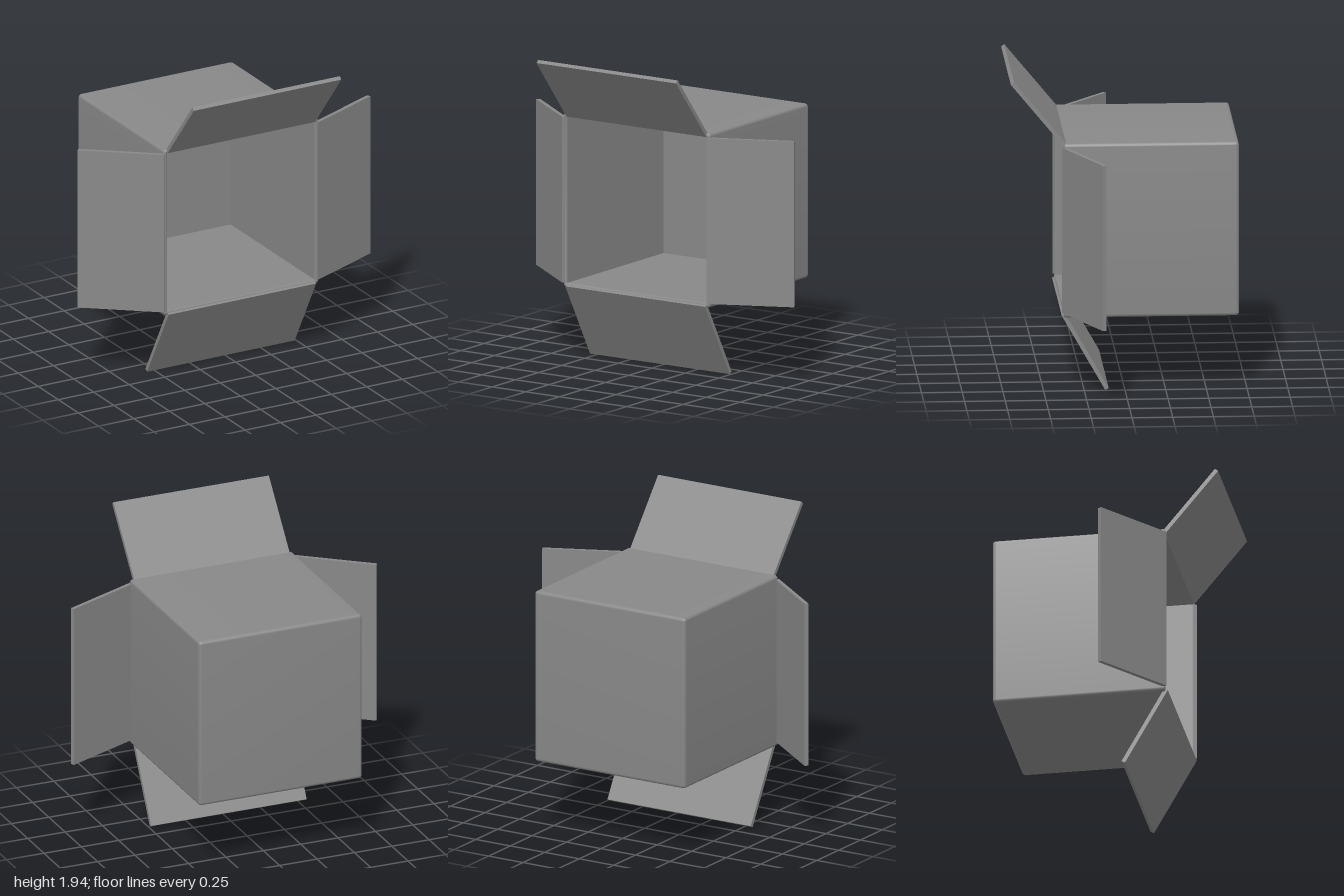
import * as THREE from 'three';
import { toCreasedNormals } from 'three/addons/utils/BufferGeometryUtils.js';

const CX = -0.03, CY = 1.01;          // centre of the box opening
const HX = 0.546, HY = 0.547;         // outer half sizes
const BACK = -0.70, RIM = 0.375;      // depth range
const WALL = 0.026, R = 0.02;         // wall thickness, edge rounding
const STEPS = 4, EDGE = 0.003;        // arc steps, narrow strip that keeps the faces flat

// Rounded-square cross-section, inset from the outer wall (counter-clockwise)
function ring(inset, z) {
  const points = [];
  const r = Math.max(0, R - inset), d = Math.max(inset, R);
  const x = Math.max(0, HX - d), y = Math.max(0, HY - d);
  const edge = Math.min(EDGE, x, y);
  [[1, 1], [-1, 1], [-1, -1], [1, -1]].forEach(([sx, sy], corner) => {
    for (let i = -1; i <= STEPS + 1; i++) {
      const t = THREE.MathUtils.clamp(i, 0, STEPS);
      const a = (corner + t / STEPS) * Math.PI / 2, c = Math.cos(a), s = Math.sin(a);
      const slide = (i - t) * edge;
      points.push(CX + sx * x + r * c - slide * s, CY + sy * y + r * s + slide * c, z);
    }
  });
  return points;
}

// Hollow shell: outer back, rounded edge, outer wall, rounded rim, inner wall, inner back
function shellGeometry() {
  const profile = [[1, BACK], [R + EDGE, BACK]];
  for (let i = 0; i <= STEPS; i++) {
    const a = i / STEPS * Math.PI / 2;
    profile.push([R * (1 - Math.sin(a)), BACK + R * (1 - Math.cos(a))]);
  }
  const half = WALL / 2;
  profile.push([0, BACK + R + EDGE], [0, RIM - half - EDGE]);
  for (let i = 0; i <= 2 * STEPS; i++) {
    const a = i / STEPS * Math.PI / 2;
    profile.push([half * (1 - Math.cos(a)), RIM - half * (1 - Math.sin(a))]);
  }
  profile.push([WALL, RIM - half - EDGE], [WALL, BACK + WALL], [1, BACK + WALL]);

  const n = 4 * (STEPS + 3), index = [];
  const positions = profile.flatMap(([inset, z]) => ring(inset, z));
  for (let j = 0; j < profile.length - 1; j++) {
    for (let i = 0; i < n; i++) {
      const k = (i + 1) % n;
      const a = j * n + i, b = j * n + k, c = a + n, d = b + n;
      index.push(a, b, d, a, d, c);
    }
  }
  const geometry = new THREE.BufferGeometry();
  geometry.setAttribute('position', new THREE.Float32BufferAttribute(positions, 3));
  geometry.setIndex(index);
  return toCreasedNormals(geometry, 0.6);
}

export function createModel() {
  const group = new THREE.Group();
  const material = new THREE.MeshStandardMaterial({ color: 0x888888 });

  const shell = new THREE.Mesh(shellGeometry(), material);
  shell.name = 'boxShell';
  group.add(shell);

  // Flat flap between a hinge and a tip, given as [x or y, z] on its centre line
  function addFlap(name, hinge, tip, sideways) {
    const du = tip[0] - hinge[0], dz = tip[1] - hinge[1];
    const length = Math.hypot(du, dz);
    const u = (hinge[0] + tip[0]) / 2, z = (hinge[1] + tip[1]) / 2;
    const size = sideways ? [length, 1.04, 0.025] : [1.04, length, 0.025];
    const flap = new THREE.Mesh(new THREE.BoxGeometry(...size), material);
    flap.name = name;
    if (sideways) {
      flap.position.set(u, CY, z);
      flap.rotation.y = -Math.atan2(dz, du);
    } else {
      flap.position.set(CX, u, z);
      flap.rotation.x = Math.atan2(dz, du);
    }
    group.add(flap);
  }
  addFlap('topFlap', [1.543, 0.366], [1.937, 0.691], false);
  addFlap('bottomFlap', [0.477, 0.377], [0.007, 0.11], false);
  addFlap('leftFlap', [0.494, 0.374], [0.994, 0.152], true);
  addFlap('rightFlap', [-0.568, 0.374], [-0.992, 0.04], true);

  return group;
}
